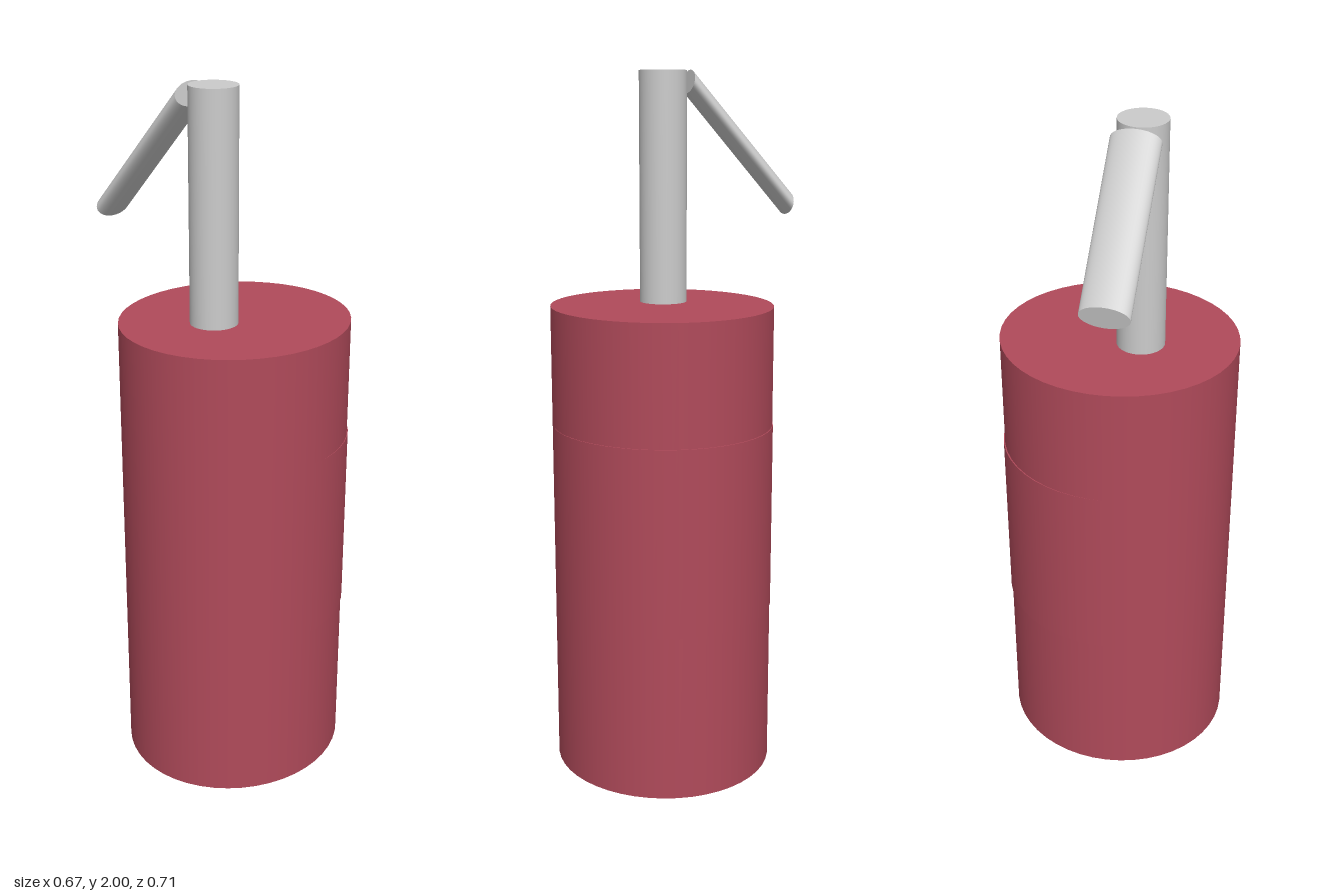
import * as THREE from 'three';

export function createModel() {
  const model = new THREE.Group();
  const red = new THREE.MeshStandardMaterial({ color: 0xb04a5a });
  const grey = new THREE.MeshStandardMaterial({ color: 0xcccccc });

  function add(name, geometry, material) {
    const mesh = new THREE.Mesh(geometry, material);
    mesh.name = name;
    model.add(mesh);
  }

  // Upright cylinder with an oval section, from y0 to y1
  function ovalCylinder(rx, rz, y0, y1, x, z) {
    return new THREE.CylinderGeometry(1, 1, y1 - y0, 48)
      .scale(rx, 1, rz)
      .translate(x, (y0 + y1) / 2, z);
  }

  // Bottle body and the label band that sits slightly to one side
  add('body', ovalCylinder(0.335, 0.315, 0, 1.355, -0.002, 0.038), red);
  add('labelBand', ovalCylinder(0.334, 0.3155, 0.48, 1.015, 0.003, 0.038), red);

  // Pump stem
  add('stem', ovalCylinder(0.067, 0.067, 1.3, 2, -0.068, 0.017), grey);

  // Flattened spout sloping down to the back, its ends cut nearly upright
  const top = new THREE.Vector3(-0.068, 1.969, -0.056);
  const tip = new THREE.Vector3(-0.068, 1.629, -0.35);
  const skew = new THREE.Matrix4().makeBasis(
    new THREE.Vector3(0.067, 0, 0),
    top.clone().sub(tip),
    new THREE.Vector3(0, -0.032, 0.0065)
  );
  skew.setPosition(top.clone().add(tip).multiplyScalar(0.5));
  add('spout', new THREE.CylinderGeometry(1, 1, 1, 48).applyMatrix4(skew), grey);

  return model;
}
